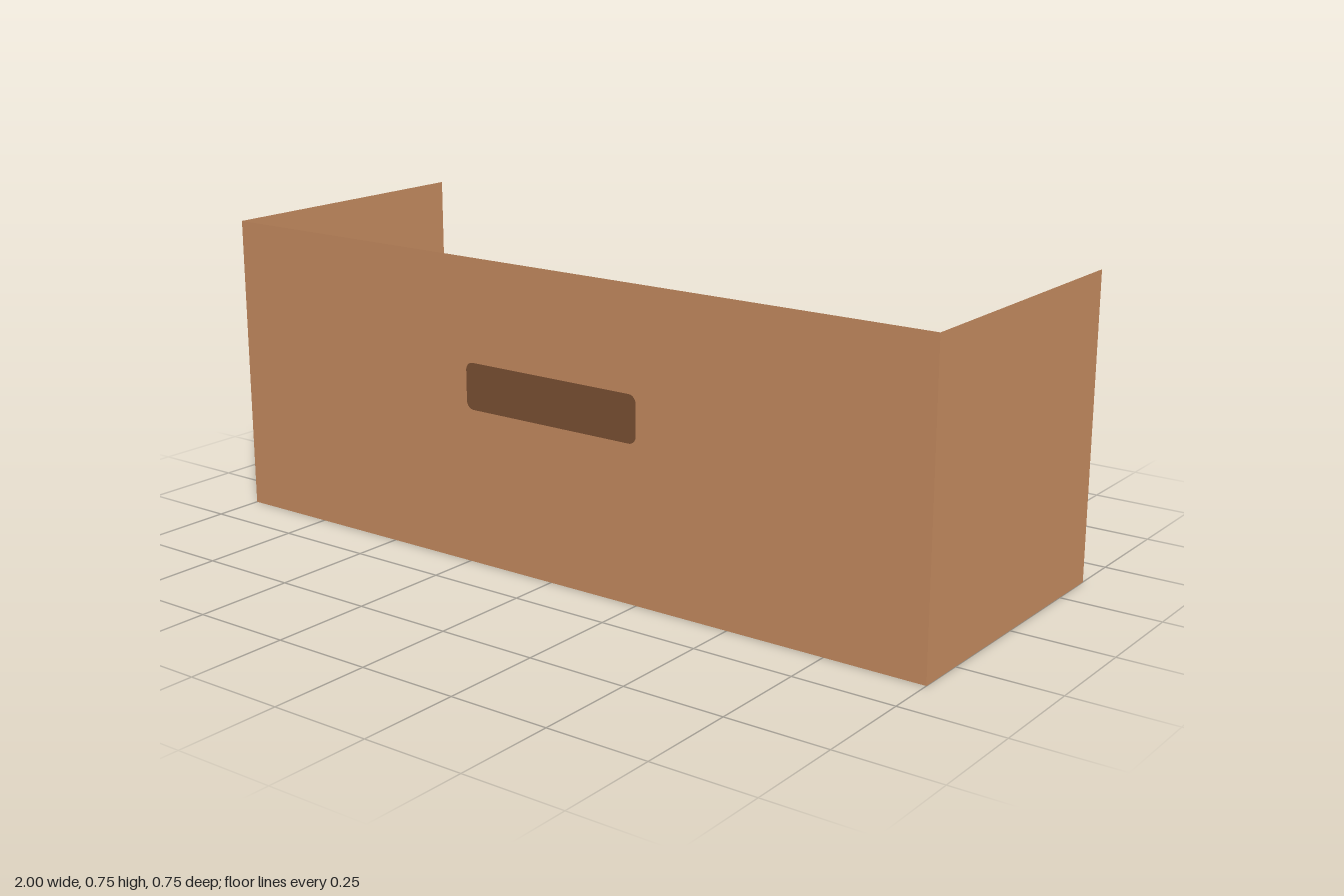
import * as THREE from 'three';

const W = 2, H = 0.75, D = 0.75;

// Traces a rounded rectangle centred at (cx, cy)
function roundedRect(path, cx, cy, w, h, r) {
  const x = cx - w / 2, y = cy - h / 2;
  path.moveTo(x + r, y);
  path.lineTo(x + w - r, y);
  path.absarc(x + w - r, y + r, r, -Math.PI / 2, 0);
  path.lineTo(x + w, y + h - r);
  path.absarc(x + w - r, y + h - r, r, 0, Math.PI / 2);
  path.lineTo(x + r, y + h);
  path.absarc(x + r, y + h - r, r, Math.PI / 2, Math.PI);
  path.lineTo(x, y + r);
  path.absarc(x + r, y + r, r, Math.PI, Math.PI * 1.5);
  return path;
}

export function createModel() {
  const group = new THREE.Group();
  group.name = 'openBox';

  const cardboard = new THREE.MeshStandardMaterial({ color: 0xc98e62, side: THREE.DoubleSide });
  cardboard.name = 'cardboard';
  const darkCardboard = new THREE.MeshStandardMaterial({ color: 0x7d5234, side: THREE.DoubleSide });
  darkCardboard.name = 'darkCardboard';

  const add = (name, geometry, material, x, y, z) => {
    const mesh = new THREE.Mesh(geometry, material);
    mesh.name = name;
    mesh.position.set(x, y, z);
    group.add(mesh);
    return mesh;
  };

  // Front panel, with the handle patch set flush into it
  const handle = [0, 0.44, 0.5, 0.115, 0.02];
  const front = new THREE.Shape();
  front.moveTo(-W / 2, 0);
  front.lineTo(W / 2, 0);
  front.lineTo(W / 2, H);
  front.lineTo(-W / 2, H);
  front.holes.push(roundedRect(new THREE.Path(), ...handle));
  add('frontPanel', new THREE.ShapeGeometry(front, 6), cardboard, 0, 0, D / 2);
  add('handle', new THREE.ShapeGeometry(roundedRect(new THREE.Shape(), ...handle), 6),
    darkCardboard, 0, 0, D / 2);

  // Side panels; the back and top stay open
  for (const s of [-1, 1]) {
    const side = add(s > 0 ? 'leftPanel' : 'rightPanel', new THREE.PlaneGeometry(D, H),
      cardboard, s * W / 2, H / 2, 0);
    side.rotation.y = s * Math.PI / 2;
  }

  // Floor
  add('floor', new THREE.PlaneGeometry(W, D), cardboard, 0, 0, 0).rotation.x = -Math.PI / 2;

  return group;
}
